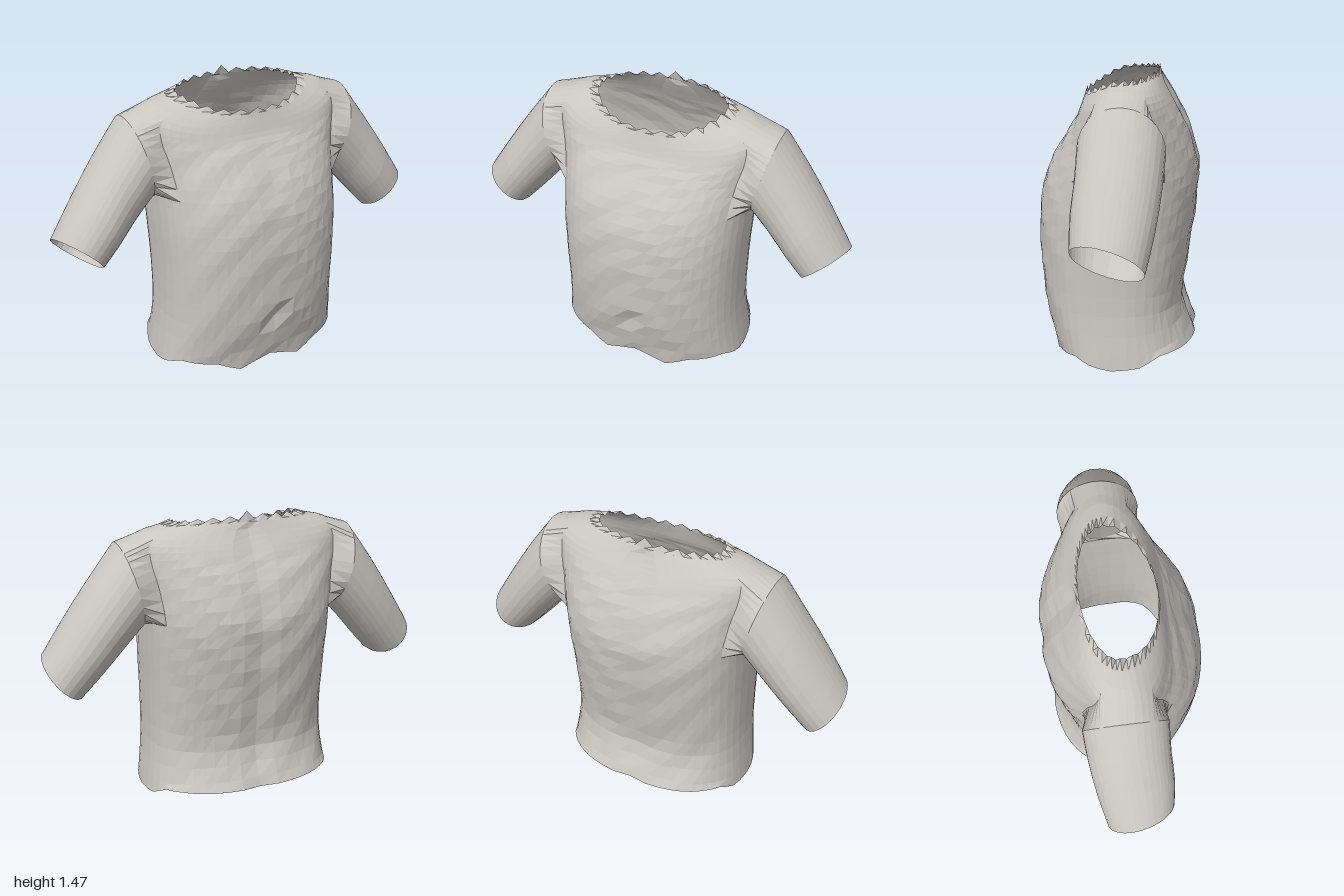
import * as THREE from 'three';

const COLS = 48;   // columns around the body, column 0 = centre front
const STEPS = 3;   // mesh rows between two key rings

// Body key rings: [ySide, yFront, yBack, halfWidth, zFront, zBack]
const BODY = [
  [0.03, 0.05, 0.09, 0.505, 0.315, -0.405],
  [0.29, 0.3, 0.29, 0.476, 0.38, -0.337],
  [0.57, 0.58, 0.56, 0.475, 0.402, -0.37],
  [0.78, 0.79, 0.8, 0.482, 0.395, -0.4],
  [0.95, 0.96, 0.98, 0.487, 0.355, -0.405],
  [1.12, 1.12, 1.16, 0.51, 0.268, -0.35],
  [1.26, 1.21, 1.28, 0.54, 0.21, -0.288],
  [1.365, 1.275, 1.355, 0.52, 0.186, -0.245],
  [1.415, 1.34, 1.44, 0.33, 0.166, -0.2],
];
const ROWS = (BODY.length - 1) * STEPS;
const HOLE = { c: COLS / 4, half: 4, r0: 4 * STEPS, r1: 7 * STEPS }; // armhole

// Uneven hem heights from centre front towards the back, one per two columns
const HEM = [0.05, 0, 0.05, 0.06, 0.07, 0.04, 0.02, 0.035, 0.085, 0.09];

// Sleeve key rings: upper edge x, y, lower edge x, y, zFront, zBack, cuff slant
const SLEEVE = [
  [0.61, 1.338, 0.508, 0.92, 0.15, -0.258, 0],
  [0.745, 1.16, 0.6, 0.822, 0.149, -0.248, 0],
  [0.87, 0.98, 0.7, 0.708, 0.157, -0.225, 0.015],
  [0.992, 0.795, 0.795, 0.605, 0.148, -0.188, 0.035],
];

const power = (v, e) => Math.sign(v) * Math.abs(v) ** e;
const bump = (d, size) => Math.exp(-((d / size) ** 2));

// Smooth curve through the key rings
function sample(keys, u) {
  const last = keys.length - 1;
  const i = Math.min(Math.floor(u), last - 1), t = u - i;
  const [a, b, c, d] = [-1, 0, 1, 2].map((o) => keys[THREE.MathUtils.clamp(i + o, 0, last)]);
  return b.map((v, n) => v + 0.5 * t * (c[n] - a[n]
    + t * (2 * a[n] - 5 * v + 4 * c[n] - d[n] + t * (3 * (v - c[n]) + d[n] - a[n]))));
}

function hemHeight(m) {
  const last = HEM.length - 1;
  const i = Math.floor(m / 2);
  return (HEM[Math.min(i, last)] + HEM[Math.min(i + (m % 2), last)]) / 2;
}

function bodyPoint(r, j) {
  const u = r / STEPS;
  const [ySide, yFront, yBack, w, zFront, zBack] = sample(BODY, u);
  const zSide = -0.05 * THREE.MathUtils.smoothstep(u, 2, 5);
  const e = 0.8 + 0.2 * THREE.MathUtils.smoothstep(u, 6, 8);
  const a = (j / COLS) * Math.PI * 2;
  const s = Math.sin(a), c = Math.cos(a), k = Math.abs(s) ** 3;
  const m = Math.min(j, COLS - j);
  const x = w * power(s, e);
  let z = zSide + (c > 0 ? zFront - zSide : zSide - zBack) * power(c, e);
  let y = ySide * k + (c > 0 ? yFront : yBack) * (1 - k);
  if (r === 0) y = hemHeight(m);
  // torn neckline
  if (r === ROWS) y += m === COLS / 2 ? 0.028 : m % 2 ? -0.014 : 0.008;
  // spine groove, shallow chest line and navel
  if (c < 0 && u < 7.5) z += 0.014 * bump(x, 0.04);
  if (c > 0) z -= 0.008 * bump(x, 0.05) * bump(u - 4.5, 1);
  if (r === STEPS && m === 0) z -= 0.025;
  // soft folds in the cloth
  if (r > 0 && u < 6) z += 0.004 * Math.sin(r * 1.9 + m * 1.3) * c;
  return new THREE.Vector3(x, y, z);
}

// Mesh over rows of n points each; closed around, with optional skipped cells
function gridMesh(points, n, material, name, skip = () => false) {
  const index = [];
  for (let r = 0; r < points.length / n - 1; r++) {
    for (let i = 0; i < n; i++) {
      if (skip(r, i)) continue;
      const a = r * n + i, b = r * n + ((i + 1) % n);
      index.push(a, b, b + n, a, b + n, a + n);
    }
  }
  const geometry = new THREE.BufferGeometry().setFromPoints(points);
  geometry.setIndex(index);
  geometry.computeVertexNormals();
  const mesh = new THREE.Mesh(geometry, material);
  mesh.name = name;
  return mesh;
}

// Body shell, open at hem, neck and both armholes
function makeBody(material) {
  const points = [];
  for (let r = 0; r <= ROWS; r++) {
    for (let j = 0; j < COLS; j++) points.push(bodyPoint(r, j));
  }
  const inHole = (r, j) => r >= HOLE.r0 && r < HOLE.r1 &&
    [HOLE.c, COLS - HOLE.c].some((c) => j >= c - HOLE.half && j < c + HOLE.half);
  return gridMesh(points, COLS, material, 'shirtBody', inHole);
}

// Sleeve tube that begins exactly on the armhole edge
function makeSleeve(side, material, name) {
  const { c, half, r0, r1 } = HOLE;
  const points = [];
  for (let j = c - half; j < c + half; j++) points.push(bodyPoint(r0, j));
  for (let r = r0; r < r1; r++) points.push(bodyPoint(r, c + half));
  for (let j = c + half; j > c - half; j--) points.push(bodyPoint(r1, j));
  for (let r = r1; r > r0; r--) points.push(bodyPoint(r, c - half));
  const angles = points.map((p) => Math.atan2((p.y - 1.15) / 0.21, (p.z + 0.045) / 0.18));

  for (let u = 0; u < SLEEVE.length; u += 0.5) {
    const [ux, uy, lx, ly, zf, zb, slant] = sample(SLEEVE, Math.min(u, SLEEVE.length - 1));
    if (u > SLEEVE.length - 1) break;
    angles.forEach((t) => {
      const s = Math.sin(t), q = Math.cos(t);
      points.push(new THREE.Vector3(
        (ux + lx) / 2 + ((ux - lx) / 2) * s - slant * q * 0.8,
        (uy + ly) / 2 + ((uy - ly) / 2) * s + slant * q,
        (zf + zb) / 2 + ((zf - zb) / 2) * q,
      ));
    });
  }
  // mirror for the right side, reversing the order to keep faces outward
  if (side < 0) {
    points.forEach((p) => { p.x = -p.x; });
    const rows = [];
    for (let i = 0; i < points.length; i += angles.length) {
      rows.push(...points.slice(i, i + angles.length).reverse());
    }
    return gridMesh(rows, angles.length, material, name);
  }
  return gridMesh(points, angles.length, material, name);
}

export function createModel() {
  const cloth = new THREE.MeshStandardMaterial({
    color: 0xcac6c0, flatShading: true, side: THREE.DoubleSide,
  });
  cloth.name = 'paleGreyCloth';
  const group = new THREE.Group();
  group.name = 'shirt';
  group.add(
    makeBody(cloth),
    makeSleeve(1, cloth, 'leftSleeve'),
    makeSleeve(-1, cloth, 'rightSleeve'),
  );
  return group;
}
